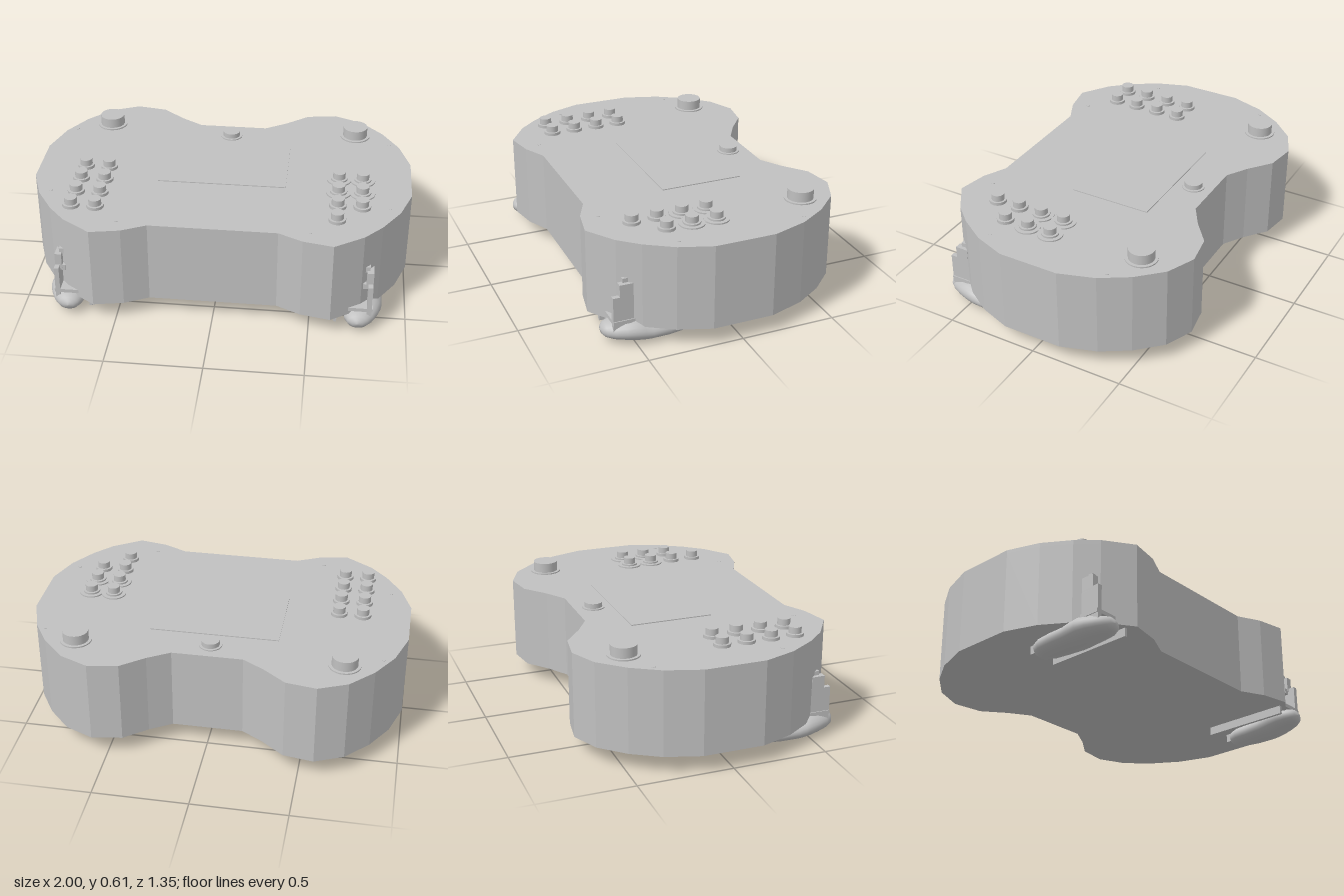
import * as THREE from 'three';

const grey = new THREE.MeshStandardMaterial({ color: 0xc0c0c0 });
grey.name = 'plain grey';

// Right half of the body outline as [x, z], from back to front
const HALF = [
  [0.185, -0.49], [0.3, -0.56], [0.42, -0.655], [0.58, -0.68], [0.73, -0.615],
  [0.85, -0.49], [0.94, -0.345], [1, -0.16], [1, 0.16], [0.94, 0.33],
  [0.85, 0.47], [0.76, 0.57], [0.61, 0.67], [0.455, 0.64], [0.33, 0.58],
];

function add(parent, name, geometry, x = 0, y = 0, z = 0) {
  const mesh = new THREE.Mesh(geometry, grey);
  mesh.name = name;
  mesh.position.set(x, y, z);
  parent.add(mesh);
  return mesh;
}

// Box given by its lower and upper corners
function box(parent, name, [x0, y0, z0], [x1, y1, z1]) {
  const geometry = new THREE.BoxGeometry(Math.abs(x1 - x0), y1 - y0, z1 - z0);
  return add(parent, name, geometry, (x0 + x1) / 2, (y0 + y1) / 2, (z0 + z1) / 2);
}

// Upright disc from y0 to y1
function disc(parent, name, r, x, z, y0, y1) {
  return add(parent, name, new THREE.CylinderGeometry(r, r, y1 - y0, 28), x, (y0 + y1) / 2, z);
}

// Mirrored outline extruded between two heights
function slab(parent, name, y0, y1) {
  const all = [...HALF, ...HALF.map(([x, z]) => [-x, z]).reverse()];
  const shape = new THREE.Shape(all.map(([x, z]) => new THREE.Vector2(x, -z)));
  const geometry = new THREE.ExtrudeGeometry(shape, { depth: y1 - y0, bevelEnabled: false });
  geometry.rotateX(-Math.PI / 2);
  return add(parent, name, geometry, 0, y0, 0);
}

// Rounded foot lofted along z; rows are z, centre x, half width, bottom, top
function footGeometry(side) {
  const rows = [
    [0.18, 0.785, 0.001, 0.055, 0.06], [0.185, 0.785, 0.035, 0.035, 0.083],
    [0.205, 0.785, 0.06, 0.02, 0.1], [0.25, 0.785, 0.08, 0.012, 0.108],
    [0.33, 0.785, 0.09, 0.007, 0.11], [0.42, 0.78, 0.096, 0.005, 0.113],
    [0.46, 0.778, 0.098, 0.006, 0.125], [0.5, 0.775, 0.097, 0.01, 0.134],
    [0.55, 0.766, 0.09, 0.017, 0.128], [0.6, 0.757, 0.075, 0.024, 0.118],
    [0.635, 0.752, 0.052, 0.035, 0.107], [0.65, 0.75, 0.028, 0.05, 0.092],
    [0.655, 0.75, 0.001, 0.07, 0.072],
  ];
  const n = 24, positions = [], index = [];
  rows.forEach(([z, cx, w, low, high], i) => {
    for (let j = 0; j < n; j++) {
      const a = (j / n) * Math.PI * 2;
      positions.push(side * cx + w * Math.cos(a),
        (low + high) / 2 + ((high - low) / 2) * Math.sin(a), z);
      if (i === rows.length - 1) continue;
      const k = (j + 1) % n, p = i * n, q = p + n;
      index.push(p + j, p + k, q + j, p + k, q + k, q + j);
    }
  });
  const geometry = new THREE.BufferGeometry();
  geometry.setAttribute('position', new THREE.Float32BufferAttribute(positions, 3));
  geometry.setIndex(index);
  geometry.computeVertexNormals();
  return geometry;
}

export function createModel() {
  const model = new THREE.Group();
  model.name = 'controlBox';

  // Case, lid and thin display panel
  slab(model, 'caseBody', 0.1, 0.53);
  slab(model, 'lid', 0.53, 0.55);
  box(model, 'displayPanel', [-0.34, 0.55, -0.29], [0.34, 0.555, 0.15]);

  // Push buttons, some with a wide collar
  const buttons = new THREE.Group();
  buttons.name = 'buttons';
  model.add(buttons);
  const button = (x, z, wide) => {
    if (wide) disc(buttons, 'buttonCollar', 0.066, x, z, 0.55, 0.557);
    disc(buttons, 'buttonFlange', 0.045, x, z, 0.55, 0.566);
    disc(buttons, 'buttonCap', 0.033, x, z, 0.56, 0.6);
  };
  [0.035, 0.167, 0.3, 0.432].forEach((z, row) => {
    button(-0.748, z, false);
    button(-0.622, z, false);
    button(0.618, z, row < 2);
    if (row < 3) button(0.743, z, row < 2);
  });

  // Centre knob
  disc(model, 'centreKnobFlange', 0.06, 0, -0.385, 0.55, 0.556);
  disc(model, 'centreKnob', 0.047, 0, -0.385, 0.55, 0.582);

  for (const side of [1, -1]) {
    // Corner knobs and lid screws
    disc(model, 'cornerKnobFlange', 0.083, side * 0.695, -0.455, 0.55, 0.557);
    disc(model, 'cornerKnob', 0.067, side * 0.695, -0.455, 0.55, 0.61);
    for (const [x, z] of [[0.885, -0.373], [0.885, 0.297], [0.49, 0.555]])
      disc(model, 'screw', 0.01, side * x, z, 0.548, 0.552);

    // Foot with its rails and upright bracket
    const foot = new THREE.Group();
    foot.name = side > 0 ? 'leftFoot' : 'rightFoot';
    model.add(foot);
    add(foot, 'footPad', footGeometry(side));
    const part = (name, [x0, y0, z0], [x1, y1, z1]) =>
      box(foot, name, [side * x0, y0, z0], [side * x1, y1, z1]);
    part('innerRail', [0.627, 0.055, 0.14], [0.643, 0.102, 0.62]);
    part('outerRail', [0.78, 0.055, 0.14], [0.8, 0.102, 0.3]);
    part('bracketPlate', [0.795, 0.08, 0.495], [0.82, 0.27, 0.61]);
    part('bracketFoot', [0.7, 0.12, 0.495], [0.825, 0.14, 0.61]);
    part('bracketNeck', [0.785, 0.25, 0.505], [0.82, 0.335, 0.575]);
    part('bracketLatch', [0.768, 0.235, 0.515], [0.8, 0.265, 0.57]);
    part('bracketTip', [0.775, 0.325, 0.525], [0.8, 0.357, 0.552]);
  }

  return model;
}
